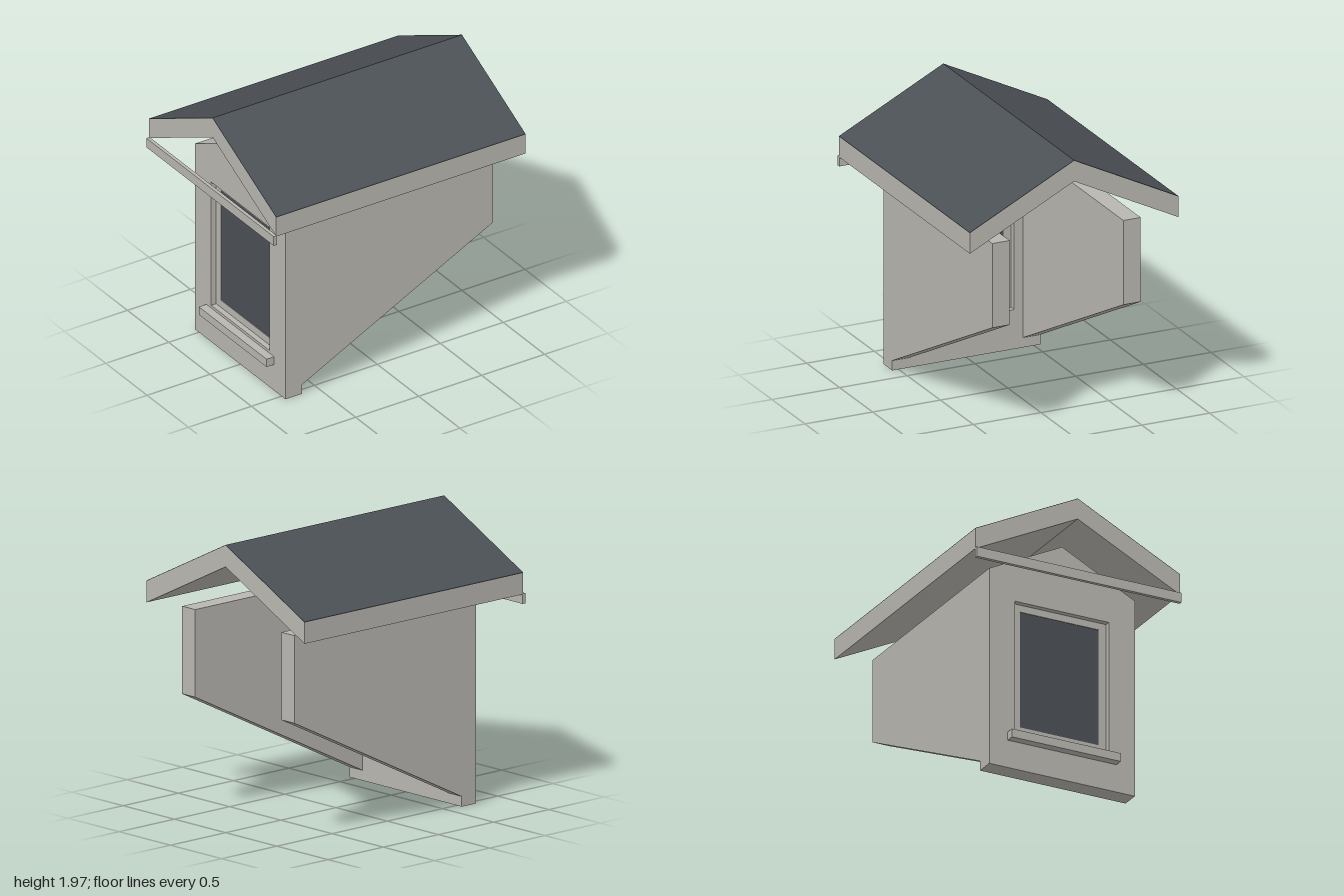
import * as THREE from 'three';

const siding = new THREE.MeshStandardMaterial({ color: 0xb8b6b0 });
siding.name = 'siding';
const slate = new THREE.MeshStandardMaterial({ color: 0x4b5055 });
slate.name = 'slate';
const glass = new THREE.MeshStandardMaterial({ color: 0x4b4f55 });
glass.name = 'glass';

const polygon = (points) => new THREE.Shape(points.map(([x, y]) => new THREE.Vector2(x, y)));
const rectangle = (halfWidth, bottom, top) =>
  polygon([[-halfWidth, bottom], [halfWidth, bottom], [halfWidth, top], [-halfWidth, top]]);

export function createModel() {
  const model = new THREE.Group();
  model.name = 'dormer';

  const add = (name, geometry, material) => {
    const mesh = new THREE.Mesh(geometry, material);
    mesh.name = name;
    model.add(mesh);
    return mesh;
  };

  // Extrudes a (z, y) cross-section along x, from x0 to x1
  const alongX = (name, shape, x0, x1, material) => {
    const geometry = new THREE.ExtrudeGeometry(shape, { depth: x1 - x0, bevelEnabled: false });
    geometry.rotateY(Math.PI / 2).translate(x0, 0, 0);
    return add(name, geometry, material);
  };

  // Window wall with its opening, and the gable above it
  const wall = rectangle(0.548, 0, 1.43);
  wall.holes.push(rectangle(0.353, 0.28, 1.23));
  alongX('windowWall', wall, -0.76, -0.63, siding);
  alongX('gable', polygon([[-0.548, 1.43], [0.548, 1.43], [0, 1.705]]), -0.76, -0.63, siding);

  // Recessed window
  const frame = rectangle(0.353, 0.28, 1.23);
  frame.holes.push(rectangle(0.297, 0.335, 1.18));
  alongX('windowFrame', frame, -0.72, -0.675, siding);
  alongX('windowPane', rectangle(0.297, 0.335, 1.18), -0.715, -0.68, glass);
  alongX('windowSill', rectangle(0.41, 0.2, 0.26), -0.82, -0.76, siding);

  // Side walls, cut to the slope of the main roof
  const cheek = polygon([[-0.63, 0.07], [0.885, 0.83], [0.885, 1.43], [-0.63, 1.43]]);
  for (const [name, z] of [['frontCheek', 0.42], ['backCheek', -0.548]]) {
    const geometry = new THREE.ExtrudeGeometry(cheek, { depth: 0.128, bevelEnabled: false });
    add(name, geometry.translate(0, 0, z), siding);
  }

  // Pitched roof with a thin slate covering
  const chevron = (bottom, thickness) => polygon([
    [-0.77, bottom], [0, bottom + 0.385], [0.77, bottom],
    [0.77, bottom + thickness], [0, bottom + 0.385 + thickness], [-0.77, bottom + thickness],
  ]);
  alongX('roof', chevron(1.435, 0.146), -0.98, 1, siding);
  alongX('roofCovering', chevron(1.581, 0.004), -0.98, 1, slate);

  // Tie bar across the eaves
  alongX('tieBar', rectangle(0.77, 1.37, 1.44), -1, -0.975, siding);

  return model;
}
